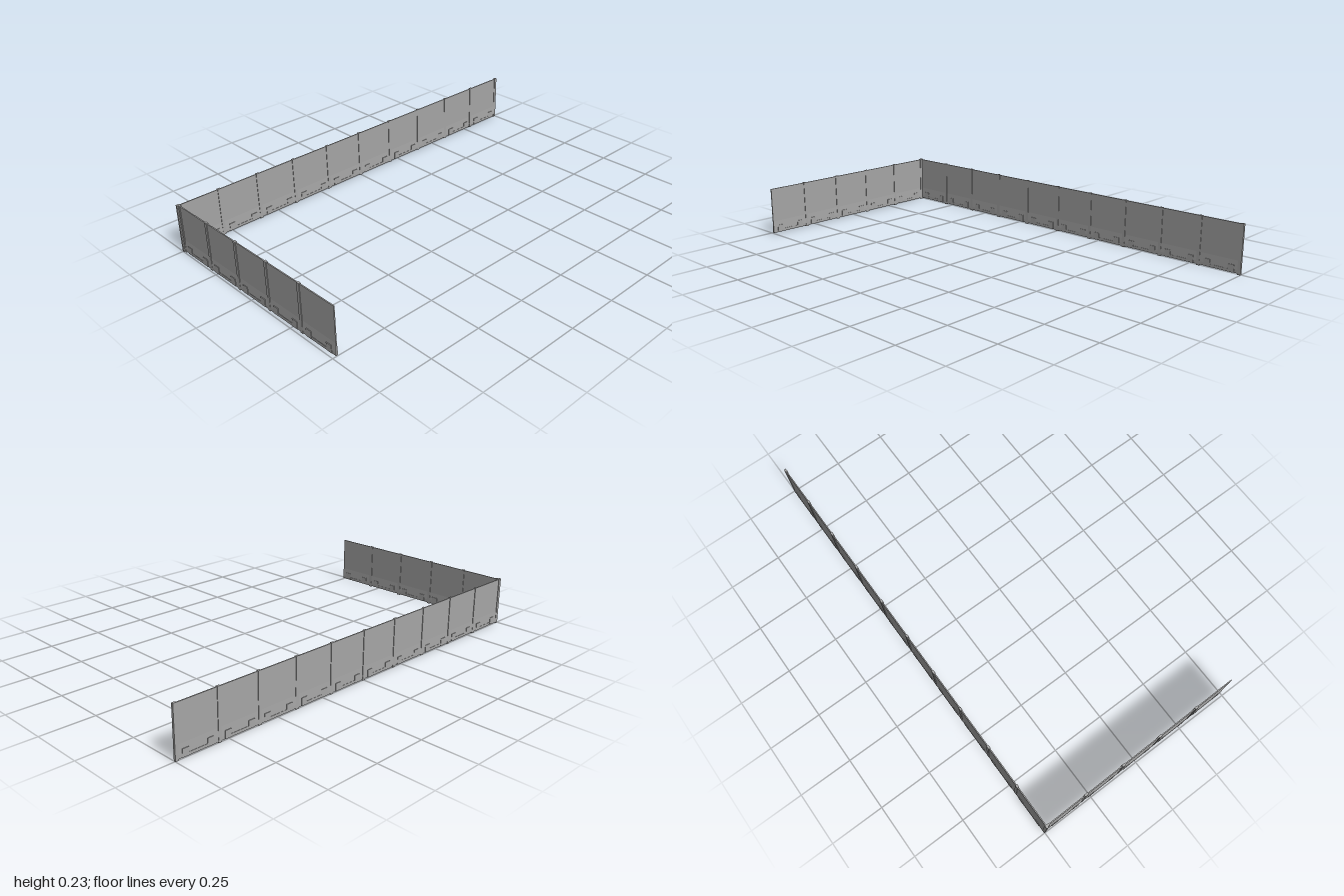
import * as THREE from 'three';

const concrete = new THREE.MeshStandardMaterial({ color: 0xa6a6a6 });
concrete.name = 'concrete grey';

const HEIGHT = 0.225, BASE = 0.005;

function box(name, w, h, d, x, y) {
  const mesh = new THREE.Mesh(new THREE.BoxGeometry(w, h, d), concrete);
  mesh.name = name;
  mesh.position.set(x, y, 0);
  return mesh;
}

// Thin slab that flares out into a sloped plinth at the bottom
function panelGeometry(length) {
  const half = [[0.0045, BASE], [0.0045, 0.02], [0.0025, 0.062], [0.0025, HEIGHT]];
  const mirrored = half.map(([x, y]) => [-x, y]).reverse();
  const shape = new THREE.Shape([...half, ...mirrored].map(([x, y]) => new THREE.Vector2(x, y)));
  return new THREE.ExtrudeGeometry(shape, { depth: length, bevelEnabled: false }).rotateY(Math.PI / 2);
}

// Straight run of panels along +x, starting at the local origin
function wall(name, panels, pitch, endPost) {
  const group = new THREE.Group();
  group.name = name;
  const geometry = panelGeometry(pitch);
  for (let i = 0; i < panels; i++) {
    const x = i * pitch;
    const panel = new THREE.Mesh(geometry, concrete);
    panel.name = 'panel';
    panel.position.x = x;
    group.add(panel);
    // Low kerb with two raised foot blocks, showing on both sides
    group.add(box('kerb', 0.145, 0.013, 0.0115, x + 0.102, 0.0115));
    for (const offset of [0.044, 0.16]) {
      group.add(box('footBlock', 0.03, 0.035, 0.0125, x + offset, 0.0225));
    }
  }
  // Posts covering the joints
  for (let i = 0; i < panels + (endPost ? 1 : 0); i++) {
    group.add(box('post', 0.015, 0.227, 0.01, i * pitch, 0.1135));
  }
  return group;
}

export function createModel() {
  const model = new THREE.Group();
  model.name = 'cornerWall';

  const front = wall('frontWall', 5, 0.1985, false);
  front.position.set(-0.49, 0, 0.99);
  front.rotation.y = 0.009;

  const side = wall('sideWall', 10, 0.1985, true);
  side.position.set(-0.498, 0, 0.9925);
  side.rotation.y = Math.PI / 2;

  model.add(front, side);
  return model;
}
